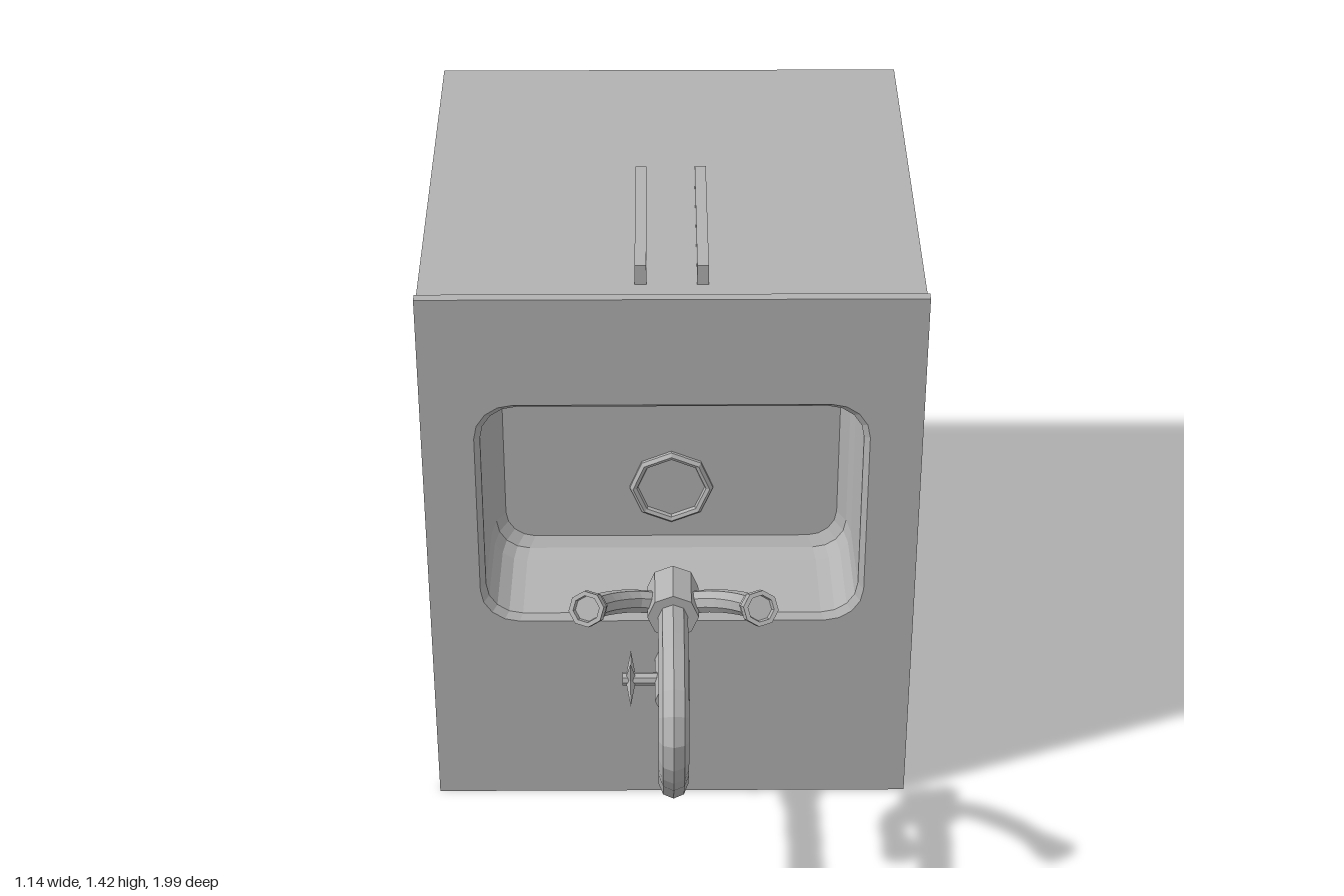
import * as THREE from 'three';

const steel = new THREE.MeshStandardMaterial({ color: 0xb2b2b2 });
steel.name = 'plain grey';

// Faceted normals
function facet(geo) {
  const g = geo.index ? geo.toNonIndexed() : geo;
  g.computeVertexNormals();
  return g;
}

function add(parent, name, geo) {
  const m = new THREE.Mesh(facet(geo), steel);
  m.name = name;
  parent.add(m);
  return m;
}

// Box given by its limits on each axis
function box(parent, name, [x0, x1], [y0, y1], [z0, z1]) {
  const m = add(parent, name, new THREE.BoxGeometry(x1 - x0, y1 - y0, z1 - z0));
  m.position.set((x0 + x1) / 2, (y0 + y1) / 2, (z0 + z1) / 2);
  return m;
}

const V = (x, y, z) => new THREE.Vector3(x, y, z);
const tube = (pts, r, n) =>
  new THREE.TubeGeometry(new THREE.CatmullRomCurve3(pts, false, 'centripetal'), n, r, 8);

// Rounded rectangle around the bowl centre, counter-clockwise
const BOWL_Y = 0.8225;
function roundedRing(inset) {
  const hw = 0.45 - inset, hh = 0.3025 - inset, r = 0.09 - inset * 0.4, pts = [];
  for (let c = 0; c < 4; c++) {
    const sx = c === 0 || c === 3 ? 1 : -1, sy = c < 2 ? 1 : -1;
    for (let i = 0; i <= 4; i++) {
      const a = (c + i / 4) * Math.PI / 2;
      pts.push(new THREE.Vector2(sx * (hw - r) + r * Math.cos(a), BOWL_Y + sy * (hh - r) + r * Math.sin(a)));
    }
  }
  return pts;
}

// Upright slab with a hole, from z0 to z1
function slab(parent, name, hw, y0, y1, z0, z1, hole) {
  const s = new THREE.Shape([[-hw, y0], [hw, y0], [hw, y1], [-hw, y1]].map(p => new THREE.Vector2(...p)));
  s.holes.push(new THREE.Path(hole));
  const g = new THREE.ExtrudeGeometry(s, { depth: z1 - z0, bevelEnabled: false });
  g.translate(0, 0, z0);
  return add(parent, name, g);
}

// Bowl: rings stepping inward and back, closed by a flat floor
function bowlGeometry() {
  const rings = [[0, 0.28], [0.013, 0.265], [0.018, 0.06], [0.028, 0.02], [0.05, 0]]
    .map(([inset, z]) => roundedRing(inset).map(p => [p.x, p.y, z]));
  const n = rings[0].length, pos = [];
  const tri = (...v) => v.forEach(p => pos.push(...p));
  for (let i = 0; i < n; i++) {
    const j = (i + 1) % n;
    for (let k = 0; k + 1 < rings.length; k++) {
      const a = rings[k], b = rings[k + 1];
      tri(a[i], a[j], b[j]);
      tri(a[i], b[j], b[i]);
    }
    const f = rings[rings.length - 1];
    tri([0, BOWL_Y, 0], f[i], f[j]);
  }
  const g = new THREE.BufferGeometry();
  g.setAttribute('position', new THREE.Float32BufferAttribute(pos, 3));
  return g;
}

function createCabinet() {
  const g = new THREE.Group();
  g.name = 'cabinet';
  // Rear body with the stepped recess below the door
  const profile = new THREE.Shape([[0.01, 0.187], [1, 0.187], [1, 1.225], [0.905, 1.237], [0.89, 1.31], [0.01, 1.31]]
    .map(p => new THREE.Vector2(...p)));
  const body = new THREE.ExtrudeGeometry(profile, { depth: 1.1, bevelEnabled: false });
  body.rotateY(Math.PI / 2);
  body.translate(-0.55, 0, 0);
  add(g, 'cabinetBody', body);
  // Hollow part around the bowl
  const hole = [[-0.5, 0.4], [0.5, 0.4], [0.5, 1.2], [-0.5, 1.2]].map(p => new THREE.Vector2(...p));
  slab(g, 'bowlHousing', 0.55, 0.187, 1.31, -0.01, 0.226, hole);
  // Door and its two handles
  box(g, 'door', [-0.57, 0.57], [1.31, 1.367], [-0.917, 0.226]);
  for (const s of [-1, 1])
    box(g, 'doorHandle', [s * 0.07 - 0.013, s * 0.07 + 0.013], [1.36, 1.416], [-0.31, 0.158]);
  // Seam band round the sides and underside
  for (const s of [-1, 1])
    box(g, 'sideBand', [s * 0.553 - 0.005, s * 0.553 + 0.005], [0.183, 1.222], [-0.398, -0.37]);
  box(g, 'bottomBand', [-0.55, 0.55], [0.182, 0.19], [-0.398, -0.37]);
  return g;
}

function createBasin() {
  const g = new THREE.Group();
  g.name = 'basin';
  slab(g, 'counterPlate', 0.57, 0, 1.4, 0.256, 0.28, roundedRing(0));
  slab(g, 'counterBacking', 0.57, 0.165, 1.242, 0.225, 0.256, roundedRing(0));
  add(g, 'bowl', bowlGeometry());
  // Drain with a raised octagonal rim
  const p = [[0.1, 0], [0.1, 0.008], [0.092, 0.016], [0.083, 0.012], [0.08, 0.004], [0, 0.004]];
  const drain = add(g, 'drain', new THREE.LatheGeometry(p.map(q => new THREE.Vector2(...q)), 8));
  drain.rotation.x = Math.PI / 2;
  drain.position.set(0, 0.715, 0);
  return g;
}

function createFaucet() {
  const g = new THREE.Group();
  g.name = 'faucet';
  const base = add(g, 'faucetBase', new THREE.CylinderGeometry(0.041, 0.041, 0.17, 8));
  base.rotation.x = Math.PI / 2;
  base.position.set(0, 0.405, 0.355);
  // Curved neck
  const neck = [[0.42, 0.405], [0.6, 0.408], [0.735, 0.412], [0.785, 0.44], [0.86, 0.515], [0.935, 0.6], [0.965, 0.68],
    [0.945, 0.745], [0.875, 0.79], [0.785, 0.807], [0.6, 0.807]].map(([z, y]) => V(0, y, z));
  add(g, 'neck', tube(neck, 0.033, 22));
  const hub = add(g, 'hub', new THREE.CylinderGeometry(0.057, 0.057, 0.115, 8));
  hub.rotation.x = Math.PI / 2;
  hub.position.set(0, 0.807, 0.595);
  // Two branches ending in flared nozzles
  const rim = [[0.025, 0], [0.032, 0.015], [0.032, 0.045], [0.039, 0.055], [0.039, 0.085], [0.029, 0.085], [0.027, 0.07], [0, 0.07]]
    .map(q => new THREE.Vector2(...q));
  for (const s of [-1, 1]) {
    add(g, 'branch', tube([V(s * 0.02, 0.8, 0.59), V(s * 0.09, 0.828, 0.62), V(s * 0.14, 0.863, 0.675),
      V(s * 0.17, 0.905, 0.745), V(s * 0.178, 0.925, 0.775)], 0.026, 8));
    const nozzle = add(g, 'nozzle', new THREE.LatheGeometry(rim, 8));
    nozzle.position.set(s * 0.17, 0.905, 0.745);
    nozzle.quaternion.setFromUnitVectors(V(0, 1, 0), V(s * 0.017, 0.045, 0.07).normalize());
  }
  // Valve stem with a four-pointed handle
  const stem = add(g, 'valveStem', new THREE.CylinderGeometry(0.016, 0.016, 0.12, 8));
  stem.rotation.z = Math.PI / 2;
  stem.position.set(-0.058, 0.405, 0.355);
  for (let i = 0; i < 2; i++) {
    const arm = add(g, 'valveHandle', new THREE.OctahedronGeometry(1));
    arm.scale.set(0.013, 0.074, 0.022);
    arm.rotation.x = 0.43 + i * Math.PI / 2;
    arm.position.set(-0.098, 0.405, 0.355);
  }
  return g;
}

export function createModel() {
  const model = new THREE.Group();
  model.name = 'sinkCabinet';
  model.add(createCabinet(), createBasin(), createFaucet());
  return model;
}
